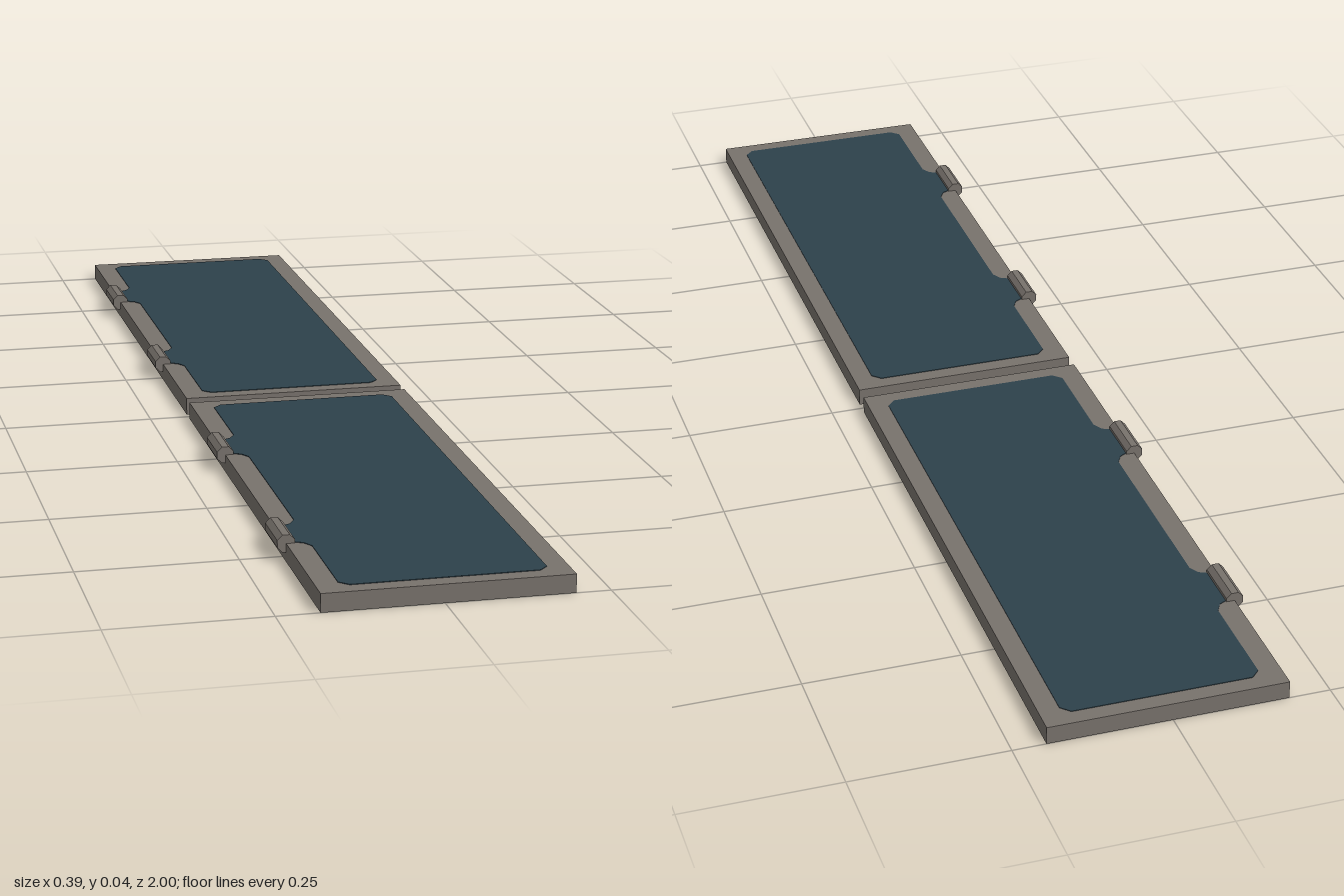
import * as THREE from 'three';

export function createModel() {
  const model = new THREE.Group();
  model.name = 'hingedPanels';
  const frameMat = new THREE.MeshStandardMaterial({ color: 0x78726c });
  frameMat.name = 'warmGrey';
  const panelMat = new THREE.MeshStandardMaterial({ color: 0x2d414b });
  panelMat.name = 'darkTeal';

  const add = (parent, name, geometry, material, x, y, z) => {
    const mesh = new THREE.Mesh(geometry, material);
    mesh.name = name;
    mesh.position.set(x, y, z);
    parent.add(mesh);
  };

  const left = -0.184, right = 0.197, top = 0.029;
  const length = 0.987, hingeOffset = 0.227;

  // Slab
  const slabGeo = new THREE.BoxGeometry(right - left, top, length);

  // Inset outline: chamfered corners, with a tab reaching towards each hinge
  const x0 = -0.149, x1 = 0.164, h = 0.467, c = 0.014, tabX = -0.17;
  const points = [[x0 + c, -h], [x1 - c, -h], [x1, -h + c], [x1, h - c], [x1 - c, h], [x0 + c, h], [x0, h - c]];
  for (const s of [hingeOffset, -hingeOffset]) {
    points.push([x0, s + 0.062], [-0.158, s + 0.046], [tabX, s + 0.04],
      [tabX, s - 0.04], [-0.158, s - 0.046], [x0, s - 0.062]);
  }
  points.push([x0, -h + c]);
  const outline = new THREE.Shape(points.map(([x, y]) => new THREE.Vector2(x, y)));
  const insetGeo = new THREE.ExtrudeGeometry(outline, { depth: 0.001, bevelEnabled: false });
  insetGeo.rotateX(-Math.PI / 2);

  // Octagonal hinge barrel lying along z, with a flat on top
  const hingeGeo = new THREE.CylinderGeometry(0.0148, 0.0148, 0.085, 8).toNonIndexed();
  hingeGeo.rotateY(Math.PI / 8);
  hingeGeo.rotateX(Math.PI / 2);
  hingeGeo.computeVertexNormals();

  for (const side of [1, -1]) {
    const leaf = new THREE.Group();
    leaf.name = side > 0 ? 'frontLeaf' : 'backLeaf';
    leaf.position.z = side * 0.5065;
    add(leaf, 'slab', slabGeo, frameMat, (left + right) / 2, top / 2, 0);
    add(leaf, 'inset', insetGeo, panelMat, 0, top, 0);
    for (const s of [1, -1]) add(leaf, 'hinge', hingeGeo, frameMat, left, top, s * hingeOffset);
    model.add(leaf);
  }
  return model;
}
